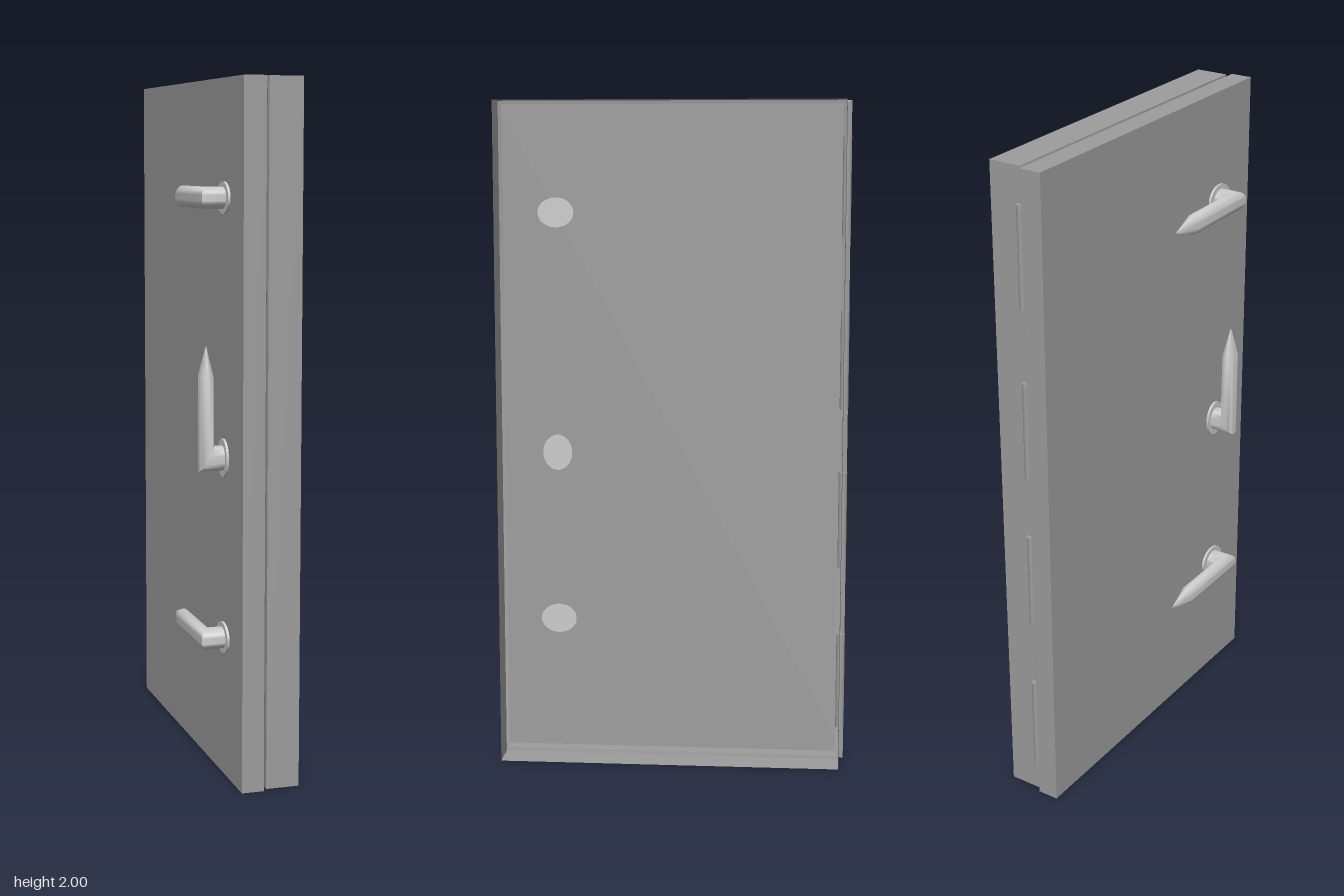
import * as THREE from 'three';
import { toCreasedNormals } from 'three/addons/utils/BufferGeometryUtils.js';

const makeMaterial = (color) => new THREE.MeshStandardMaterial({ color, side: THREE.DoubleSide });
const lightGrey = makeMaterial(0xcccccc);
const darkGrey = makeMaterial(0x9d9d9d);

// Skin a list of closed rings that share the same number of points.
function loft(rings, crease) {
  const n = rings[0].length, index = [];
  for (let j = 0; j < rings.length - 1; j++) {
    for (let i = 0; i < n; i++) {
      const k = (i + 1) % n;
      const a = j * n + i, b = a + n, c = (j + 1) * n + k, d = j * n + k;
      index.push(a, b, c, a, c, d);
    }
  }
  const geometry = new THREE.BufferGeometry();
  geometry.setAttribute('position', new THREE.Float32BufferAttribute(rings.flat(2), 3));
  geometry.setIndex(index);
  return toCreasedNormals(geometry, crease);
}

function addMesh(parent, name, geometry, material) {
  const mesh = new THREE.Mesh(geometry, material);
  mesh.name = name;
  parent.add(mesh);
  return mesh;
}

// Upright rectangle at a given x: half width along z, inset from floor and top.
const rect = (x, half, inset) => [
  [x, 2 - inset, half], [x, 2 - inset, -half], [x, inset, -half], [x, inset, half],
];

// Elliptical ring of the handle; place(c, s) maps cosine and sine to a point.
const ring = (place, sides = 24) => Array.from({ length: sides }, (_, i) => {
  const t = (i / sides) * Math.PI * 2;
  return place(Math.cos(t), Math.sin(t));
});

// Handle with its lever pointing up, centred on its spindle.
function makeHandle(name) {
  const handle = new THREE.Group();
  handle.name = name;
  const lever = loft([
    ring((c, s) => [-0.05, c * 0.036, s * 0.031]),
    ring((c, s) => [-0.105 + c * 0.022, c * 0.036, s * 0.031]), // mitred elbow
    ring((c, s) => [-0.105 + c * 0.022, 0.235, s * 0.031]),
    ring((c, s) => [-0.105 + c * 0.001, 0.32, s * 0.003]),
  ], 1.2);
  addMesh(handle, 'lever', lever, lightGrey);
  const plate = new THREE.CylinderGeometry(1, 1, 0.01, 32);
  plate.rotateZ(Math.PI / 2).scale(1, 0.055, 0.045);
  addMesh(handle, 'handlePlate', plate, lightGrey).position.x = -0.052;
  return handle;
}

export function createModel() {
  const model = new THREE.Group();
  model.name = 'hatchDoor';

  // Door leaf: sheet panel, folded rim and inward sloping lip
  const door = new THREE.Group();
  door.name = 'door';
  model.add(door);
  const panel = new THREE.PlaneGeometry(1.062, 2).rotateY(-Math.PI / 2);
  addMesh(door, 'doorPanel', panel, darkGrey).position.set(-0.05, 1, 0);
  addMesh(door, 'doorRim', loft([rect(-0.05, 0.531, 0), rect(0.015, 0.531, 0)], 0.5), darkGrey);
  addMesh(door, 'doorLip', loft([rect(0.015, 0.531, 0), rect(0.025, 0.506, 0.01)], 0.5), darkGrey);

  // Surrounding frame: open sheet with a narrow flange that meets the door lip
  const frame = new THREE.Group();
  frame.name = 'frame';
  model.add(frame);
  addMesh(frame, 'frameFlange', loft([rect(0.025, 0.506, 0.01), rect(0.027, 0.516, 0)], 0.5), darkGrey);
  addMesh(frame, 'frameWall', loft([rect(0.027, 0.516, 0), rect(0.125, 0.516, 0)], 0.5), darkGrey);

  // Handles: middle lever upright, outer two lying along the door
  for (const [name, y, turn] of [
    ['lowerHandle', 0.41, -Math.PI / 2],
    ['middleHandle', 0.935, 0],
    ['upperHandle', 1.67, -Math.PI / 2],
  ]) {
    const handle = makeHandle(name);
    handle.position.set(0, y, 0.357);
    handle.rotation.x = turn;
    door.add(handle);
  }

  // Hinge barrels down the back edge
  for (const y of [0.25, 0.75, 1.235, 1.75]) {
    const barrel = new THREE.CylinderGeometry(0.013, 0.013, 0.295, 16);
    addMesh(model, 'hingeBarrel', barrel, darkGrey).position.set(0.024, y, -0.519);
  }
  return model;
}
